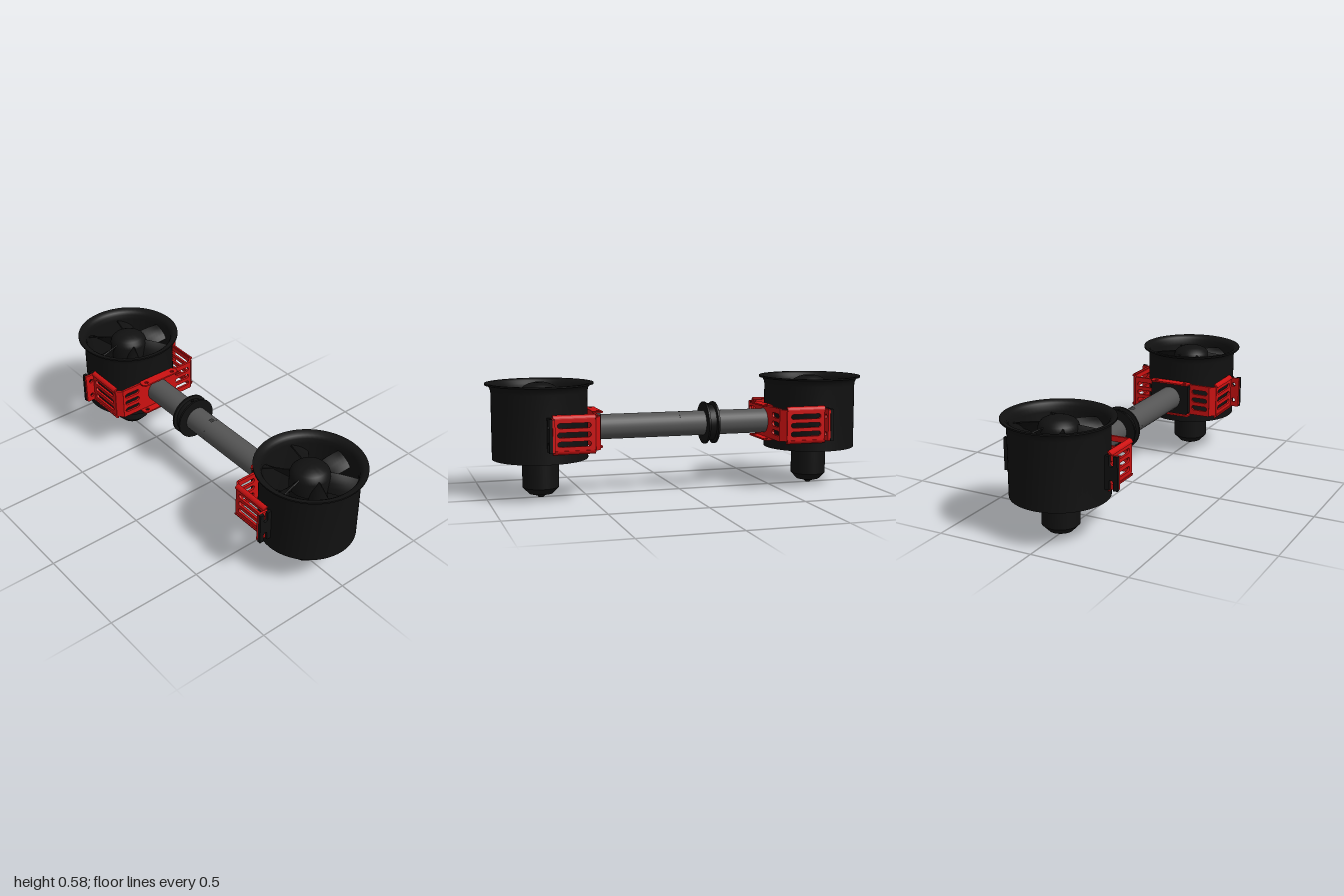
import * as THREE from 'three';
import { toCreasedNormals } from 'three/addons/utils/BufferGeometryUtils.js';

const mat = (color) => new THREE.MeshStandardMaterial({ color, side: THREE.DoubleSide });
const black = mat(0x111111), red = mat(0xcc1111), grey = mat(0x555555);
const MID = 0.345, FAN_Z = 0.73;

function add(parent, name, geo, material, x = 0, y = 0, z = 0) {
  const m = new THREE.Mesh(geo, material);
  m.name = name;
  m.position.set(x, y, z);
  parent.add(m);
  return m;
}

const lathe = (pts, seg = 48) =>
  toCreasedNormals(new THREE.LatheGeometry(pts.map(p => new THREE.Vector2(...p)), seg), 0.6);

// Rounded slot (or round hole when len equals h)
function slot(cx, cy, len, h) {
  const r = h / 2, d = (len - h) / 2, p = new THREE.Path();
  p.absarc(cx + d, cy, r, -Math.PI / 2, Math.PI / 2);
  p.absarc(cx - d, cy, r, Math.PI / 2, Math.PI * 1.5);
  p.closePath();
  return p;
}

// Plate with chamfered corners, u 0..w, v y0..y1
function plate(w, y0, y1, t, holes = [], c = 0.01) {
  const s = new THREE.Shape([[c, y0], [w - c, y0], [w, y0 + c], [w, y1 - c], [w - c, y1], [c, y1], [0, y1 - c], [0, y0 + c]]
    .map(p => new THREE.Vector2(...p)));
  s.holes = holes;
  return new THREE.ExtrudeGeometry(s, { depth: t, bevelEnabled: false, curveSegments: 8 }).translate(0, 0, -t / 2);
}

// Upright sheet-metal panel between two plan points [x, z]
function panel(parent, name, a, b, y0, y1, holes, c, t = 0.012) {
  const dx = b[0] - a[0], dz = b[1] - a[1];
  const m = add(parent, name, plate(Math.hypot(dx, dz), y0, y1, t, holes, c), red, a[0], 0, a[1]);
  m.rotation.y = Math.atan2(-dz, dx);
}

// Twisted blade: steep at the root, flatter at the tip
function bladeGeometry() {
  const r0 = 0.085, r1 = 0.224;
  const g = new THREE.BoxGeometry(r1 - r0, 0.006, 0.1, 8, 1, 4).translate((r0 + r1) / 2, 0, 0);
  const p = g.attributes.position;
  for (let i = 0; i < p.count; i++) {
    const x = p.getX(i), y = p.getY(i), z = p.getZ(i);
    const a = THREE.MathUtils.lerp(1.15, 0.5, (x - r0) / (r1 - r0));
    const camber = y + 0.008 * (1 - (z / 0.05) ** 2);
    p.setXYZ(i, x, camber * Math.cos(a) - z * Math.sin(a), camber * Math.sin(a) + z * Math.cos(a));
  }
  return toCreasedNormals(g, 0.6);
}

function ductedFan() {
  const g = new THREE.Group();
  add(g, 'ductShell', lathe([[0.226, 0.2], [0.24, 0.2], [0.24, 0.535], [0.243, 0.552], [0.25, 0.565], [0.26, 0.572],
    [0.27, 0.572], [0.27, 0.58], [0.25, 0.579], [0.237, 0.57], [0.229, 0.555], [0.226, 0.53], [0.226, 0.2]], 64), black);
  add(g, 'motorPod', lathe([[0, 0], [0.012, 0], [0.016, 0.004], [0.016, 0.011], [0.028, 0.011], [0.028, 0.02],
    [0.06, 0.02], [0.092, 0.053], [0.092, 0.45], [0, 0.45]], 40), black);
  add(g, 'spinner', lathe([[0, 0.455], [0.098, 0.455], [0.098, 0.53], [0.092, 0.548], [0.078, 0.563],
    [0.055, 0.574], [0.03, 0.581], [0, 0.582]], 40), black);
  const blade = bladeGeometry();
  for (let i = 0; i < 6; i++)
    add(g, 'fanBlade', blade, black, 0, 0.5, 0).rotation.y = i * Math.PI / 3;

  // Fixed vanes between the pod and the duct
  const vane = new THREE.BoxGeometry(0.142, 0.18, 0.008).translate(0.157, 0.3, 0);
  for (let i = 0; i < 5; i++)
    add(g, 'statorVane', vane, black).rotation.y = -Math.PI / 2 + i * Math.PI * 0.4;
  return g;
}

// Slotted side mounts for one fan, facing +z; mirrored over x
function bracket() {
  const g = new THREE.Group(), rows = [0.39, 0.345, 0.3];
  const lip = new THREE.Shape();
  lip.absarc(0, 0, 0.02, 0, Math.PI / 2, false);
  lip.absarc(0, 0, 0.01, Math.PI / 2, 0, true);
  const lipGeo = new THREE.ExtrudeGeometry(lip, { depth: 0.21, bevelEnabled: false, curveSegments: 6 });

  for (const s of [1, -1]) {
    const side = new THREE.Group();
    side.name = s > 0 ? 'leftMount' : 'rightMount';
    side.scale.x = s;
    g.add(side);
    panel(side, 'sidePanel', [0.25, 0.715], [0.25, 0.5], 0.263, 0.427, rows.map(y => slot(0.11, y, 0.165, 0.025)));
    panel(side, 'cornerPanel', [0.25, 0.503], [0.222, 0.474], 0.263, 0.427, [], 0.002);
    panel(side, 'backPanel', [0.226, 0.476], [0.1, 0.476], 0.26, 0.43, rows.map(y => slot(0.058, y, 0.09, 0.025)), 0.004);
    panel(side, 'mountFlange', [0.245, 0.713], [0.303, 0.713], 0.264, 0.428,
      [0.39, 0.3].map(y => slot(0.027, y, 0.022, 0.022)), 0.003);
    add(side, 'upperLip', lipGeo, red, 0.242, 0.422, 0.5);
    add(side, 'lowerLip', lipGeo, red, 0.242, 0.268, 0.5).scale.y = -1;

    // Duct ear, notched open around each bolt hole
    const ear = new THREE.Shape();
    ear.moveTo(0.225, 0.265).lineTo(0.261, 0.265).lineTo(0.261, 0.3);
    ear.absarc(0.272, 0.304, 0.011, Math.PI, 0, true);
    ear.lineTo(0.283, 0.265).lineTo(0.305, 0.265).lineTo(0.305, 0.43).lineTo(0.283, 0.43);
    ear.absarc(0.272, 0.39, 0.011, 0, Math.PI, true);
    ear.lineTo(0.261, 0.43).lineTo(0.225, 0.43).closePath();
    add(side, 'ductEar', new THREE.ExtrudeGeometry(ear, { depth: 0.016, bevelEnabled: false }), black, 0, 0, 0.72);
  }
  panel(g, 'centrePanel', [-0.105, 0.476], [0.105, 0.476], 0.26, 0.43, [], 0.002);

  // Bent-over tabs above and below the tube, with bolt holes
  const tab = plate(0.23, 0, 0.052, 0.008, [0.03, 0.2].map(u => slot(u, 0.03, 0.02, 0.02)), 0.012).rotateX(-Math.PI / 2);
  for (const y of [0.433, 0.257])
    add(g, 'clampTab', tab, red, -0.115, y, 0.482);
  return g;
}

export function createModel() {
  const model = new THREE.Group();
  model.name = 'twinFanBoom';

  for (const s of [1, -1]) {
    const end = s > 0 ? 'front' : 'back';
    const fan = ductedFan();
    fan.name = end + 'Fan';
    fan.position.z = s * FAN_Z;
    const mount = bracket();
    mount.name = end + 'Bracket';
    mount.scale.z = s;
    model.add(fan, mount);
  }
  add(model, 'tubeEndPlate', plate(0.22, 0.262, 0.428, 0.028, [], 0.008), black, -0.11, 0, 0.456);

  // Boom tube, with one narrow facet cut out above and below at the middle
  const tube = new THREE.Group();
  tube.name = 'boomTube';
  tube.position.y = MID;
  model.add(tube);
  const R = 0.064, gap = 0.15;
  const sections = [[-0.478, -0.01, 0, Math.PI * 2], [0.01, 0.45, 0, Math.PI * 2],
    [-0.01, 0.01, gap, Math.PI - 2 * gap], [-0.01, 0.01, Math.PI + gap, Math.PI - 2 * gap]];
  for (const [z0, z1, start, len] of sections) {
    const geo = new THREE.CylinderGeometry(R, R, z1 - z0, 32, 1, true, start, len).rotateX(Math.PI / 2);
    add(tube, 'tubeSection', geo, grey, 0, 0, (z0 + z1) / 2);
  }

  // Spool-shaped collar around the tube
  const collar = lathe([[0.064, -0.03], [0.11, -0.03], [0.11, -0.02], [0.094, -0.016], [0.094, 0.016],
    [0.11, 0.02], [0.11, 0.03], [0.064, 0.03], [0.064, -0.03]]).rotateX(Math.PI / 2);
  add(model, 'collar', collar, black, 0, MID, -0.16);
  add(model, 'collarScrew', new THREE.CylinderGeometry(0.008, 0.008, 0.01, 12), black, 0, MID + 0.096, -0.16);
  return model;
}
